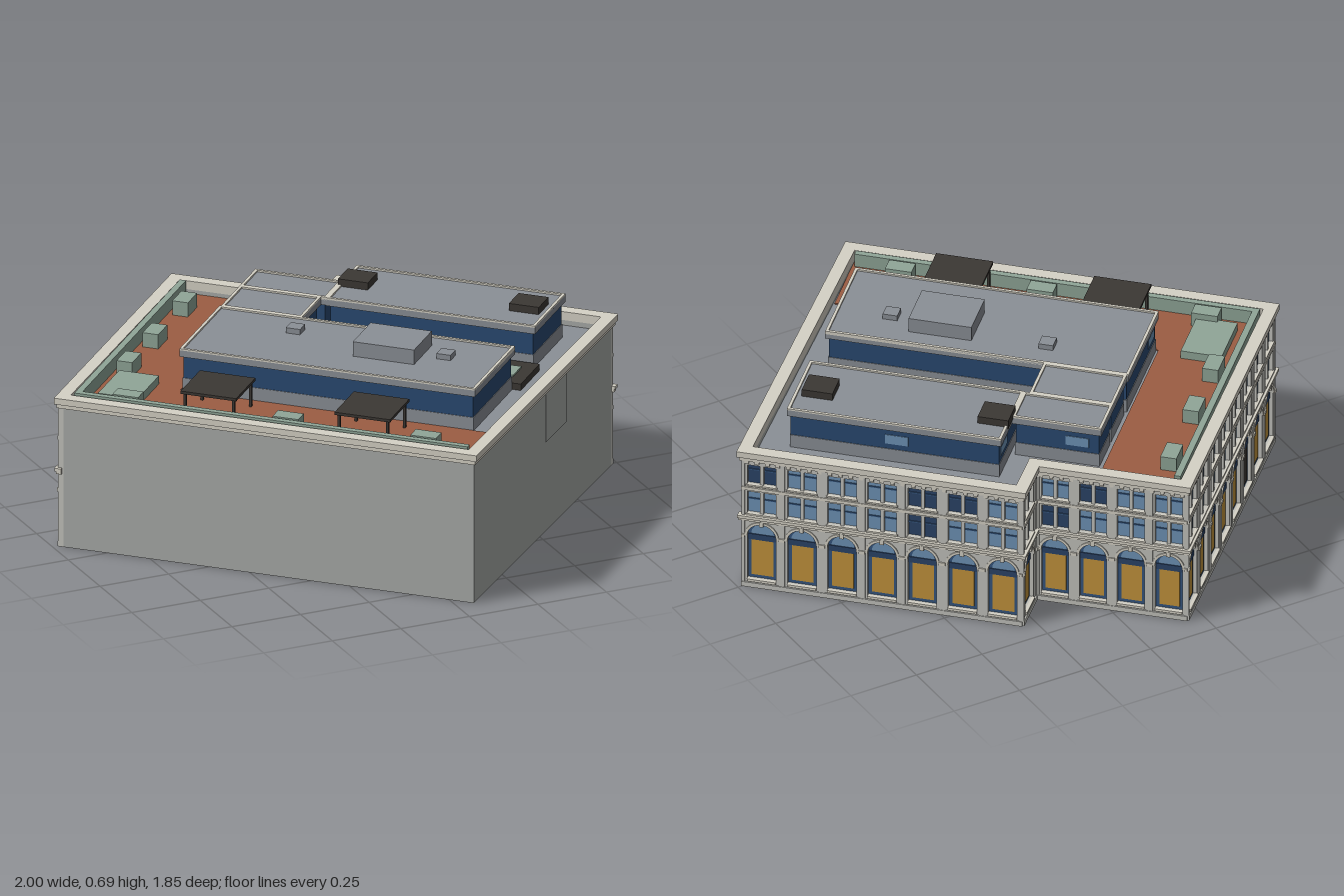
import * as THREE from 'three';

const mat = (color) => new THREE.MeshStandardMaterial({ color, flatShading: true });
const M = {
  wall: mat(0xa9aca9), stone: mat(0xc4c4be), trim: mat(0xd6d2c6), roof: mat(0x8b9097),
  deck: mat(0x9c5d43), green: mat(0x90a698), dark: mat(0x3c3834), blue: mat(0x2a4a72),
  frame: mat(0x35567f), glass: mat(0x6f94b8), deep: mat(0x2b4468), gold: mat(0xc4943c),
};
const unit = new THREE.BoxGeometry(1, 1, 1);

// Box given by its ranges on each axis
function box(parent, name, m, x0, x1, y0, y1, z0, z1) {
  const b = new THREE.Mesh(unit, m);
  b.name = name;
  b.scale.set(x1 - x0, y1 - y0, z1 - z0);
  b.position.set((x0 + x1) / 2, (y0 + y1) / 2, (z0 + z1) / 2);
  parent.add(b);
  return b;
}

// Plan outline, counter-clockwise; plan y points to local -z
const PLAN = [[-0.79, 0.53], [-0.795, -0.615], [0.69, -0.614], [0.72, 0.698], [-0.27, 0.70], [-0.272, 0.531]]
  .map(([x, y]) => new THREE.Vector2(x, y));
const FACADES = [[0, 8], [3, 7], [4, 1], [5, 4]]; // [edge, number of bays]

// Move every edge of the plan inwards by its own distance
function inset(dist) {
  const n = PLAN.length;
  const lines = PLAN.map((p, i) => {
    const d = PLAN[(i + 1) % n].clone().sub(p).normalize();
    const k = typeof dist === 'number' ? dist : dist(i);
    return { p: new THREE.Vector2(p.x - d.y * k, p.y + d.x * k), d };
  });
  return lines.map((b, i) => {
    const a = lines[(i + n - 1) % n];
    const t = b.p.clone().sub(a.p).cross(b.d) / a.d.cross(b.d);
    return a.p.clone().addScaledVector(a.d, t);
  });
}

function prism(parent, name, m, outer, y0, y1, inner) {
  const shape = new THREE.Shape(outer);
  if (inner) shape.holes.push(new THREE.Path(inner));
  const g = new THREE.ExtrudeGeometry(shape, { depth: y1 - y0, bevelEnabled: false });
  g.rotateX(-Math.PI / 2).translate(0, y0, 0);
  const mesh = new THREE.Mesh(g, m);
  mesh.name = name;
  parent.add(mesh);
}

function rectPath(cx, hw, y0, y1) {
  return new THREE.Path([[cx - hw, y0], [cx - hw, y1], [cx + hw, y1], [cx + hw, y0]]
    .map((p) => new THREE.Vector2(...p)));
}

// Group lying on one wall: x along the wall, z outwards
function wallGroup(parent, name, pts, i) {
  const p = pts[i], q = pts[(i + 1) % pts.length];
  const g = new THREE.Group();
  g.name = name;
  g.position.set(p.x, 0, -p.y);
  g.rotation.y = Math.atan2(q.y - p.y, q.x - p.x);
  parent.add(g);
  return { g, L: p.distanceTo(q) };
}

// Decorated wall with an arcade below and two rows of windows above
function facade(parent, pts, edge, n) {
  const { g, L } = wallGroup(parent, 'facade', pts, edge);
  const b = L / n, hw = Math.min(0.05, b * 0.36), spring = 0.2, T = 0.016;
  const skin = new THREE.Shape([[0, 0], [L, 0], [L, 0.5], [0, 0.5]].map((p) => new THREE.Vector2(...p)));
  const rows = [[0.29, 0.375], [0.405, 0.48]];
  const lunette = new THREE.CircleGeometry(hw * 0.78, 16, 0, Math.PI);
  const ringShape = new THREE.Shape().absarc(0, 0, hw + 0.009, 0, Math.PI, false);
  ringShape.absarc(0, 0, hw, Math.PI, 0, true);
  const archGeo = new THREE.ExtrudeGeometry(ringShape, { depth: 0.004, bevelEnabled: false, curveSegments: 10 });
  for (let i = 0; i < n; i++) {
    const c = (i + 0.5) * b;
    // Openings
    const arch = new THREE.Path().moveTo(c - hw, 0.03).lineTo(c - hw, spring);
    arch.absarc(c, spring, hw, Math.PI, 0, true);
    arch.lineTo(c + hw, 0.03).closePath();
    skin.holes.push(arch);
    // Arched shop window
    box(g, 'archFrame', M.frame, c - hw, c + hw, 0.03, 0.25, -T - 0.004, -T + 0.003);
    const door = edge === 0 && i === 5;
    box(g, door ? 'door' : 'shopWindow', door ? M.dark : M.gold, c - hw * 0.75, c + hw * 0.75, 0.042, 0.18, -T, -T + 0.005);
    box(g, 'transom', M.deep, c - hw, c + hw, 0.18, 0.202, -T, -T + 0.006);
    const fan = new THREE.Mesh(lunette, M.glass);
    fan.name = 'fanlight';
    fan.position.set(c, 0.204, -T + 0.005);
    g.add(fan);
    const ring = new THREE.Mesh(archGeo, M.trim);
    ring.name = 'archMoulding';
    ring.position.set(c, spring, 0);
    g.add(ring);
    box(g, 'keystone', M.trim, c - 0.007, c + 0.007, 0.245, 0.265, -0.004, 0.009);
    box(g, 'sill', M.trim, c - hw, c + hw, 0.022, 0.031, -0.005, 0.006);
    // Upper windows
    rows.forEach(([y0, y1], r) => {
      skin.holes.push(rectPath(c, hw, y0, y1));
      const dark = (i * 3 + r * 2 + edge) % 5 === 0 || (r === 1 && i === 4);
      box(g, 'windowGlass', dark ? M.deep : M.glass, c - hw, c + hw, y0, y1, -T - 0.004, -T + 0.003);
      box(g, 'mullion', M.stone, c - 0.006, c + 0.006, y0, y1, -T, -0.003);
      box(g, 'glazingBar', M.frame, c - hw, c + hw, y0 + 0.05, y0 + 0.055, -T, -T + 0.006);
      box(g, 'sill', M.trim, c - hw - 0.004, c + hw + 0.004, y0 - 0.006, y0, -0.005, 0.005);
    });
  }
  // Piers between the bays
  for (let i = 0; i <= n; i++) {
    const x0 = Math.max(0, i * b - 0.011), x1 = Math.min(L, i * b + 0.011);
    box(g, 'pier', M.stone, x0, x1, 0, 0.26, -0.004, 0.004);
    box(g, 'impost', M.trim, x0, x1, 0.196, 0.208, -0.004, 0.008);
    box(g, 'pilaster', M.stone, x0, x1, 0.28, 0.5, -0.004, 0.004);
  }
  // Horizontal mouldings and dentils
  box(g, 'stringCourse', M.trim, -0.008, L + 0.008, 0.262, 0.272, -0.01, 0.008);
  box(g, 'stringCourse', M.trim, -0.012, L + 0.012, 0.272, 0.283, -0.01, 0.013);
  box(g, 'floorBand', M.trim, 0, L, 0.383, 0.395, -0.004, 0.006);
  box(g, 'plinth', M.stone, 0, L, 0, 0.018, -0.004, 0.006);
  const k = Math.round(L / 0.035);
  for (let i = 0; i < k; i++) box(g, 'dentil', M.trim, (i + 0.3) * L / k, (i + 0.7) * L / k, 0.488, 0.5, -0.004, 0.006);
  const wall = new THREE.Mesh(new THREE.ExtrudeGeometry(skin, { depth: T, bevelEnabled: false, curveSegments: 10 }), M.stone);
  wall.name = 'facadeWall';
  wall.position.z = -T;
  g.add(wall);
}

// Rooftop storey: curb, glazed band, roof slab and raised rim
function penthouse(parent, x0, x1, z0, z1) {
  const g = new THREE.Group();
  g.name = 'penthouse';
  parent.add(g);
  box(g, 'curb', M.roof, x0 + 0.008, x1 - 0.008, 0.48, 0.535, z0 + 0.008, z1 - 0.008);
  box(g, 'glazedBand', M.blue, x0 + 0.01, x1 - 0.01, 0.535, 0.613, z0 + 0.01, z1 - 0.01);
  box(g, 'roofSlab', M.roof, x0, x1, 0.613, 0.636, z0, z1);
  const r = 0.01;
  box(g, 'rim', M.trim, x0, x1, 0.63, 0.642, z0, z0 + r);
  box(g, 'rim', M.trim, x0, x1, 0.63, 0.642, z1 - r, z1);
  box(g, 'rim', M.trim, x0, x0 + r, 0.63, 0.642, z0 + r, z1 - r);
  box(g, 'rim', M.trim, x1 - r, x1, 0.63, 0.642, z0 + r, z1 - r);
}

function block(parent, name, m, cx, cz, w, d, y0, y1) {
  box(parent, name, m, cx - w / 2, cx + w / 2, y0, y1, cz - d / 2, cz + d / 2);
}

export function createModel() {
  const root = new THREE.Group();
  root.name = 'building';
  const g = new THREE.Group();
  g.name = 'rotatedBuilding';
  g.rotation.y = -44.5 * Math.PI / 180;
  root.add(g);

  // Main body, facades and cornice
  const isFacade = (i) => FACADES.some(([e]) => e === i);
  const core = inset((i) => (isFacade(i) ? 0.03 : 0.014));
  const face = inset(0.014), inner = inset(0.044);
  prism(g, 'lowerBody', M.wall, core, 0, 0.32);
  prism(g, 'upperBody', M.wall, core, 0.32, 0.485);
  FACADES.forEach(([e, n]) => facade(g, face, e, n));
  prism(g, 'parapet', M.wall, inset((i) => (isFacade(i) ? 0.018 : 0.014)), 0.485, 0.505, inner);
  prism(g, 'corniceLower', M.trim, inset(0.007), 0.498, 0.513, inner);
  prism(g, 'corniceUpper', M.trim, PLAN, 0.513, 0.535, inner);
  const side = wallGroup(g, 'partyWall', face, 2);
  box(side.g, 'wallPanel', M.wall, side.L * 0.517, side.L * 0.667, 0.32, 0.498, -0.005, 0.002);

  // Roof surface and terrace
  prism(g, 'roof', M.roof, inner, 0.48, 0.487);
  box(g, 'terrace', M.deck, -0.752, -0.46, 0.48, 0.491, -0.488, 0.572);
  box(g, 'terrace', M.deck, -0.46, 0.648, 0.48, 0.491, 0.31, 0.572);

  // Rooftop storeys round the light well
  penthouse(g, -0.46, 0.578, -0.08, 0.315);
  penthouse(g, -0.455, -0.17, -0.265, -0.08);
  penthouse(g, -0.455, -0.15, -0.418, -0.265);
  penthouse(g, -0.15, 0.583, -0.562, -0.262);
  box(g, 'skylightFrame', M.dark, -0.17, 0.6, 0.48, 0.51, -0.26, -0.075);
  box(g, 'skylight', M.green, -0.12, 0.555, 0.5, 0.516, -0.207, -0.126);
  block(g, 'lightWindow', M.glass, 0.21, -0.55, 0.08, 0.008, 0.555, 0.59);
  block(g, 'lightWindow', M.glass, -0.37, -0.406, 0.08, 0.008, 0.555, 0.59);
  block(g, 'lightWindow', M.glass, -0.138, -0.49, 0.008, 0.08, 0.555, 0.59);
  block(g, 'lightWindow', M.glass, -0.448, 0.25, 0.008, 0.08, 0.555, 0.59);

  // Roof equipment
  block(g, 'plantRoom', M.roof, 0.205, 0.083, 0.215, 0.175, 0.63, 0.688);
  block(g, 'roofVent', M.roof, -0.154, 0.031, 0.05, 0.05, 0.63, 0.655);
  block(g, 'roofVent', M.roof, 0.39, 0.073, 0.05, 0.05, 0.63, 0.655);
  block(g, 'coolingUnit', M.dark, -0.1, -0.43, 0.105, 0.095, 0.63, 0.662);
  block(g, 'coolingUnit', M.dark, 0.504, -0.421, 0.105, 0.095, 0.63, 0.662);

  // Pergolas
  for (const cx of [-0.278, 0.263]) {
    const p = new THREE.Group();
    p.name = 'pergola';
    p.position.set(cx, 0, 0.446);
    g.add(p);
    block(p, 'canopy', M.dark, 0, 0, 0.195, 0.19, 0.58, 0.59);
    for (const sx of [-1, 1]) for (const sz of [-1, 1]) block(p, 'post', M.dark, sx * 0.085, sz * 0.083, 0.009, 0.009, 0.485, 0.58);
  }

  // Hedges and planters
  box(g, 'hedge', M.green, -0.742, -0.72, 0.485, 0.54, -0.477, 0.562);
  box(g, 'hedge', M.green, -0.72, 0.64, 0.485, 0.54, 0.54, 0.562);
  block(g, 'lawn', M.green, -0.614, 0.386, 0.14, 0.21, 0.485, 0.52);
  for (const z of [-0.337, -0.045, 0.211]) block(g, 'planter', M.green, -0.675, z, 0.055, 0.09, 0.485, 0.542);
  for (const x of [-0.573, -0.01, 0.474]) block(g, 'planter', M.green, x, 0.506, 0.09, 0.055, 0.485, 0.542);
  return root;
}
